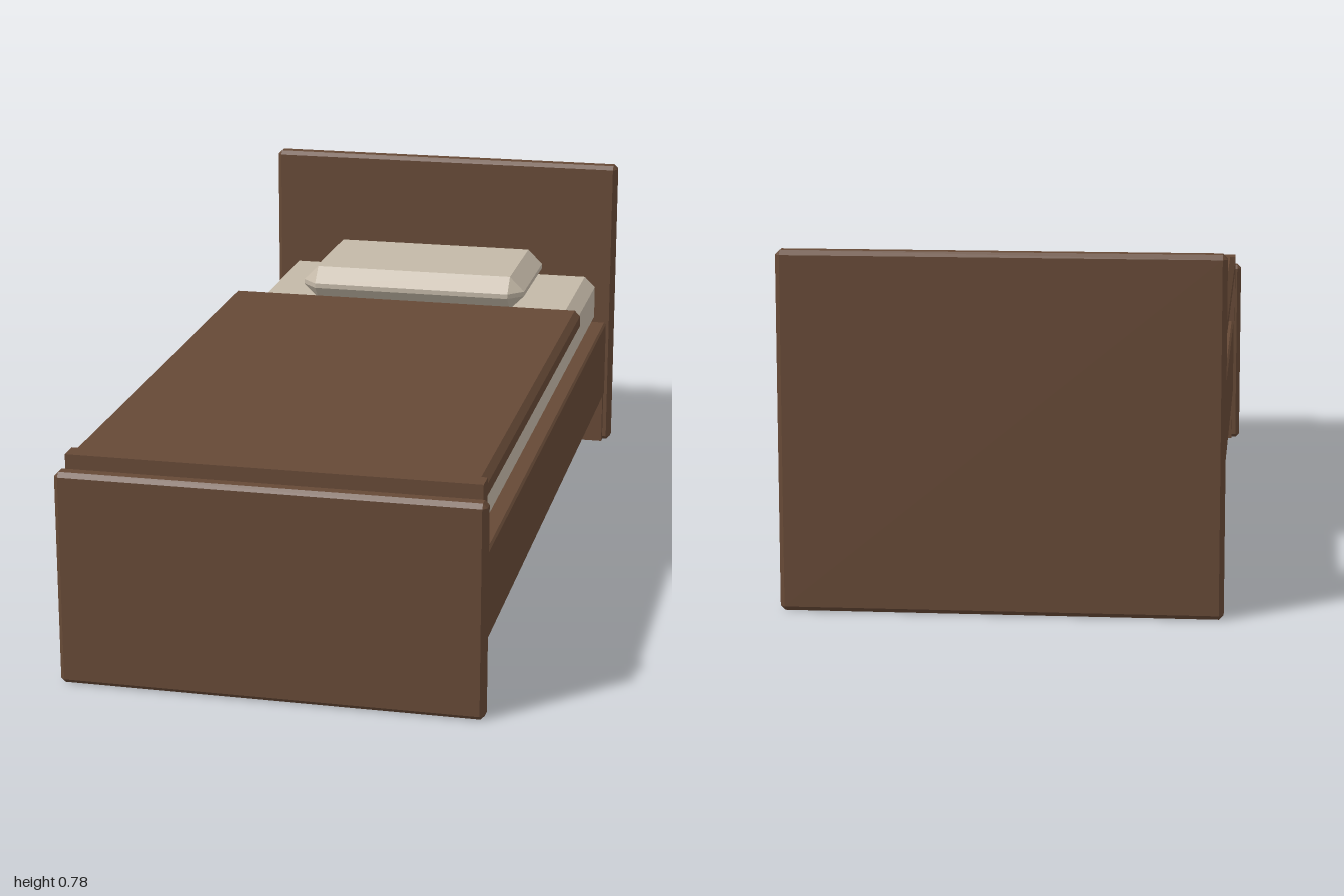
import * as THREE from 'three';
import { ConvexGeometry } from 'three/addons/geometries/ConvexGeometry.js';

const wood = new THREE.MeshStandardMaterial({ color: 0x664936 });
wood.name = 'brown wood';
const linen = new THREE.MeshStandardMaterial({ color: 0xc3b8a7 });
linen.name = 'beige linen';

// Box between two corners with all edges cut at 45 degrees by c
function chamferBox(name, material, x, y, z, c) {
  const half = [x, y, z].map(([a, b]) => (b - a) / 2);
  const mid = [x, y, z].map(([a, b]) => (a + b) / 2);
  const points = [];
  for (const sx of [-1, 1]) for (const sy of [-1, 1]) for (const sz of [-1, 1]) {
    for (let axis = 0; axis < 3; axis++) {
      const p = half.map((h, i) => (i === axis ? h : h - c));
      points.push(new THREE.Vector3(p[0] * sx, p[1] * sy, p[2] * sz));
    }
  }
  const mesh = new THREE.Mesh(new ConvexGeometry(points), material);
  mesh.name = name;
  mesh.position.set(...mid);
  return mesh;
}

function box(name, material, x, y, z) {
  const mesh = new THREE.Mesh(
    new THREE.BoxGeometry(x[1] - x[0], y[1] - y[0], z[1] - z[0]), material);
  mesh.name = name;
  mesh.position.set((x[0] + x[1]) / 2, (y[0] + y[1]) / 2, (z[0] + z[1]) / 2);
  return mesh;
}

export function createModel() {
  const bed = new THREE.Group();
  bed.name = 'bed';

  // Wooden frame
  bed.add(
    chamferBox('headboard', wood, [-0.475, 0.475], [0, 0.78], [-1, -0.955], 0.01),
    chamferBox('footboard', wood, [-0.475, 0.475], [0, 0.49], [0.957, 1], 0.01),
    chamferBox('frame', wood, [-0.457, 0.457], [0.132, 0.34], [-0.96, 0.96], 0.005),
  );

  // Short legs against the inside of each board
  for (const side of [-1, 1]) {
    for (const end of [-1, 1]) {
      const x = [side * 0.4, side * 0.455].sort((a, b) => a - b);
      const z = [end * 0.936, end * 0.97].sort((a, b) => a - b);
      bed.add(box('leg', wood, x, [0.002, 0.15], z));
    }
  }

  // Bedding
  bed.add(
    chamferBox('mattress', linen, [-0.43, 0.43], [0.34, 0.48], [-0.937, 0.937], 0.028),
    chamferBox('pillow', linen, [-0.295, 0.295], [0.48, 0.568], [-0.87, -0.5], 0.038),
    chamferBox('blanket', wood, [-0.46, 0.46], [0.465, 0.52], [-0.435, 0.93], 0.014),
    box('blanketEnd', wood, [-0.46, 0.46], [0.335, 0.52], [0.91, 0.958]),
  );
  return bed;
}
